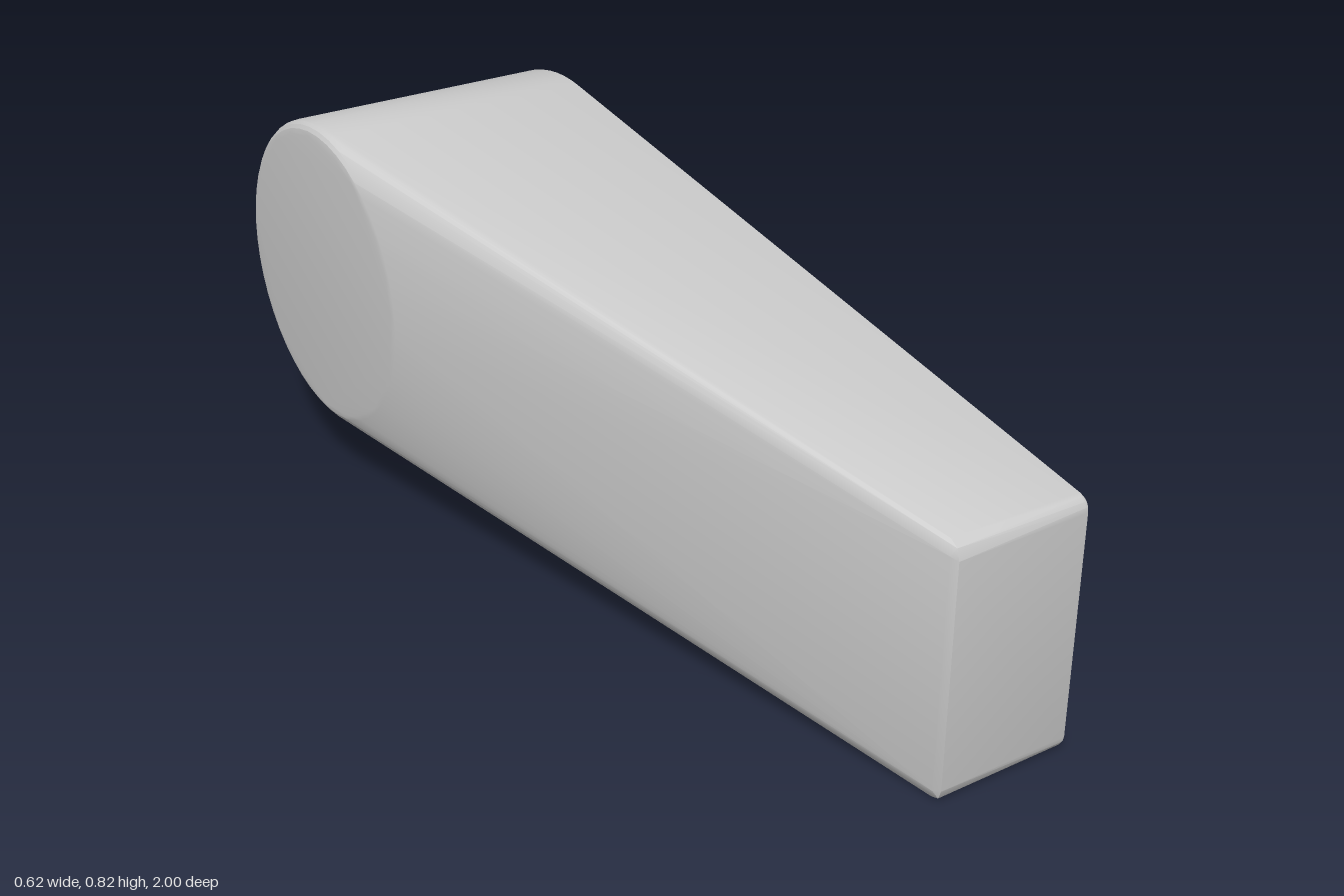
import * as THREE from 'three';
import { ConvexGeometry } from 'three/addons/geometries/ConvexGeometry.js';
import { toCreasedNormals } from 'three/addons/utils/BufferGeometryUtils.js';

const HALF = 0.31;                           // half width
const CZ = -0.665, CY = 0.485, R = 0.335;    // round rear end

// Convex side profile as (z, y) points, going round once
function sideProfile() {
  const pts = [];
  const arc = (z, y, r, from, to, n) => {
    for (let i = 0; i <= n; i++) {
      const a = from + (to - from) * i / n;
      pts.push(new THREE.Vector2(z + r * Math.cos(a), y + r * Math.sin(a)));
    }
  };
  arc(0.97, 0.03, 0.03, -Math.PI / 2, 0, 4);     // lower front corner
  arc(0.97, 0.495, 0.03, 0, 1.389, 4);           // upper front corner
  arc(CZ, CY, R, 1.389, 4.37, 36);               // round rear
  for (let i = 1; i <= 12; i++) {                // curved belly
    const z = -0.78 + 0.93 * i / 12;
    pts.push(new THREE.Vector2(z, 0.19 * (0.15 - z) ** 2));
  }
  return pts;
}

// Moves a closed profile inwards along its corner normals
function inset(pts, d) {
  const n = pts.length;
  return pts.map((p, i) => {
    const t = pts[(i + 1) % n].clone().sub(pts[(i + n - 1) % n]).normalize();
    return new THREE.Vector2(p.x - t.y * d, p.y + t.x * d);
  });
}

export function createModel() {
  const group = new THREE.Group();
  const cloud = [];
  const add = (x, y, z) => cloud.push(new THREE.Vector3(x, y, z));

  // Full profile on the straight side, with a small rounded rim
  const profile = sideProfile();
  for (let k = 0; k <= 3; k++) {
    const a = k / 3 * Math.PI / 2, b = 0.01;
    inset(profile, b * (1 - Math.cos(a))).forEach(p => add(HALF - b + b * Math.sin(a), p.y, p.x));
  }

  // Round boss on the tapered side, with a larger rounded rim
  for (let k = 0; k <= 4; k++) {
    const a = k / 4 * Math.PI / 2, b = 0.025;
    const r = R - b * (1 - Math.cos(a));
    for (let i = 0; i < 48; i++) {
      const t = 1.389 + i / 48 * Math.PI * 2;
      add(-HALF + b - b * Math.sin(a), CY + r * Math.sin(t), CZ + r * Math.cos(t));
    }
  }

  // Inner edge of the narrow front face
  for (const [y, s] of [[0, 1], [0.525, -1]]) {
    add(0.01, y + s * 0.03, 1);
    add(0.012, y + s * 0.009, 0.991);
    add(0.015, y + s * (s > 0 ? 0 : 0.0005), 0.97);
    add(0.003, y + s * 0.025, 0.985);
  }

  // The body is the skin stretched over these outlines
  const geometry = toCreasedNormals(new ConvexGeometry(cloud), 0.35);
  const body = new THREE.Mesh(geometry, new THREE.MeshStandardMaterial({ color: 0xcccccc }));
  body.name = 'taperedBody';
  group.add(body);
  return group;
}
